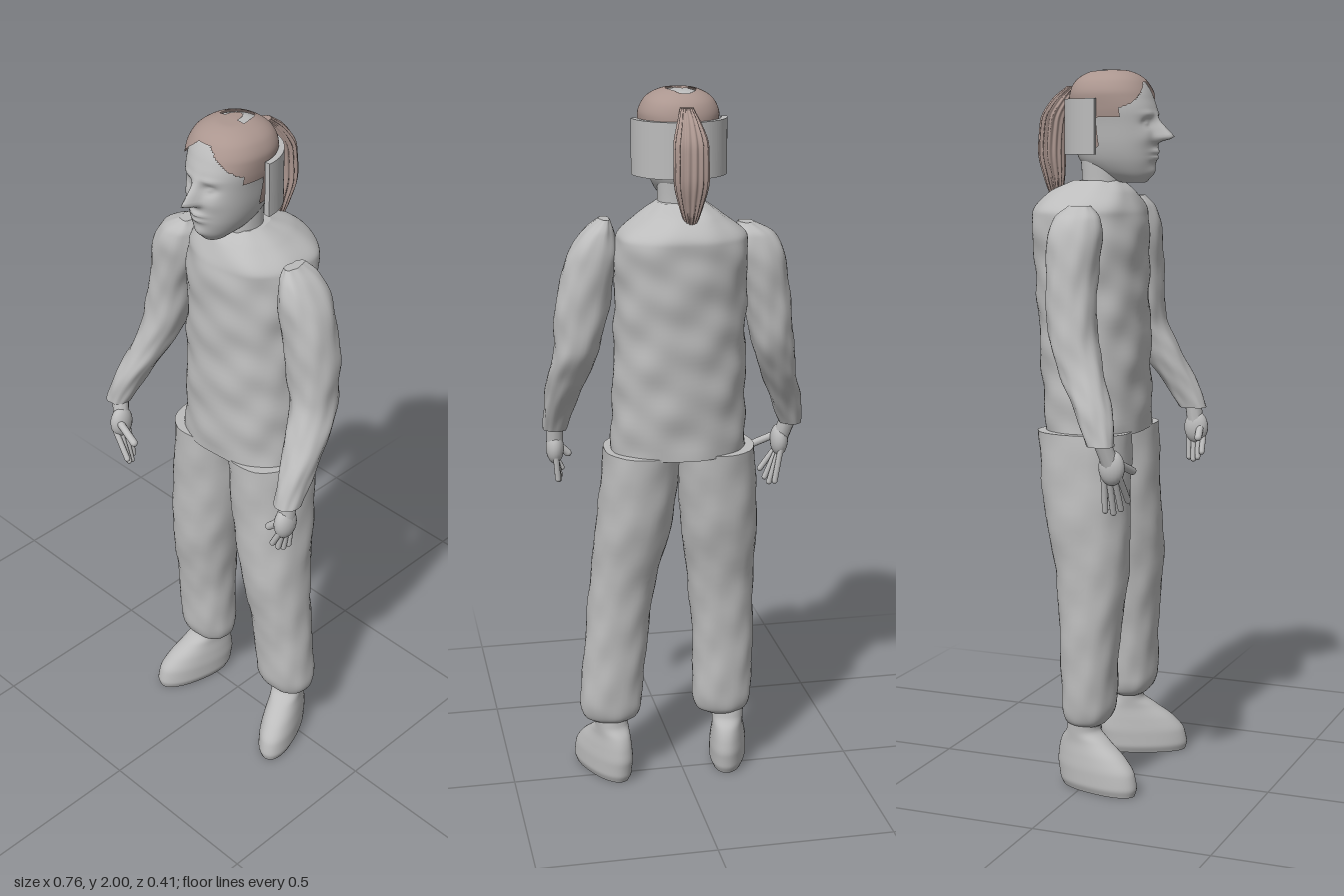
import * as THREE from 'three';

const grey = new THREE.MeshStandardMaterial({ color: 0xbcbcbc });
grey.name = 'grey cloth and skin';
const brown = new THREE.MeshStandardMaterial({ color: 0xab968f });
brown.name = 'hair brown';

// Smooth interpolation through section rows without overshoot
function sampleRows(rows, steps) {
  const slope = (i, k) => {
    if (i === 0 || i === rows.length - 1) {
      const j = Math.max(0, Math.min(rows.length - 2, i === 0 ? 0 : i - 1));
      return rows[j + 1][k] - rows[j][k];
    }
    const a = rows[i][k] - rows[i - 1][k], b = rows[i + 1][k] - rows[i][k];
    return a * b <= 0 ? 0 : (2 * a * b) / (a + b);
  };
  const out = [];
  for (let i = 0; i < rows.length - 1; i++) {
    for (let s = 0; s < steps; s++) {
      const t = s / steps, t2 = t * t, t3 = t2 * t;
      out.push(rows[i].map((v, k) => v * (2 * t3 - 3 * t2 + 1) + slope(i, k) * (t3 - 2 * t2 + t)
        + rows[i + 1][k] * (3 * t2 - 2 * t3) + slope(i + 1, k) * (t3 - t2)));
    }
  }
  out.push(rows[rows.length - 1]);
  return out;
}

// Closed body through horizontal sections [y, centreX, centreZ, radiusX, radiusZ], bottom to top
function loft(sections, { sides = 40, steps = 6, power = 2.2, shape = null, keep = null } = {}) {
  const rows = sampleRows(sections, steps), pos = [], index = [], p = new THREE.Vector3();
  const round = (v) => Math.sign(v) * Math.abs(v) ** (2 / power);
  const point = (j) => pos.slice(j * 3, j * 3 + 3);
  const tri = (a, b, c) => {
    if (keep) {
      const [A, B, C] = [a, b, c].map(point);
      if (!keep(...A.map((v, k) => (v + B[k] + C[k]) / 3))) return;
    }
    index.push(a, b, c);
  };
  for (const [y, cx, cz, rx, rz] of rows) {
    for (let i = 0; i < sides; i++) {
      const a = (i / sides) * Math.PI * 2;
      p.set(cx + rx * round(Math.cos(a)), y, cz + rz * round(Math.sin(a)));
      if (shape) shape(p, a, cx, cz);
      pos.push(p.x, p.y, p.z);
    }
  }
  for (let j = 0; j < rows.length - 1; j++) {
    for (let i = 0; i < sides; i++) {
      const a = j * sides + i, b = j * sides + (i + 1) % sides;
      tri(a, a + sides, b);
      tri(b, a + sides, b + sides);
    }
  }
  // End caps with their own rings so the hems stay sharp
  for (const top of [false, true]) {
    const row = top ? rows.length - 1 : 0, start = pos.length / 3;
    for (let i = 0; i < sides; i++) pos.push(...point(row * sides + i));
    pos.push(rows[row][1], rows[row][0], rows[row][2]);
    for (let i = 0; i < sides; i++) {
      const a = start + i, b = start + (i + 1) % sides, c = start + sides;
      if (top) tri(c, b, a); else tri(c, a, b);
    }
  }
  const geo = new THREE.BufferGeometry();
  geo.setAttribute('position', new THREE.Float32BufferAttribute(pos, 3));
  geo.setIndex(index);
  geo.computeVertexNormals();
  return geo;
}

function add(parent, name, geo, mat = grey) {
  const mesh = new THREE.Mesh(geo, mat);
  mesh.name = name;
  parent.add(mesh);
  return mesh;
}

// Rounded finger between two points
function finger(parent, name, from, to, r) {
  const a = new THREE.Vector3(...from), b = new THREE.Vector3(...to), d = b.clone().sub(a);
  const mesh = add(parent, name, new THREE.CapsuleGeometry(r, d.length(), 4, 10));
  mesh.position.copy(a).add(b).multiplyScalar(0.5);
  mesh.quaternion.setFromUnitVectors(new THREE.Vector3(0, 1, 0), d.normalize());
}

// Soft cloth folds pushed along the radius
const folds = (size) => (p, a, cx, cz) => {
  const w = size * (Math.sin(38 * p.y + 3 * a) + Math.sin(61 * p.y - 5 * a + 1) * 0.7 + Math.sin(23 * p.y + 9 * a) * 0.6);
  p.x += Math.cos(a) * w;
  p.z += Math.sin(a) * w;
};

// Nose, lips, chin, brows and eye sockets
function face(p) {
  if (p.z < 0.06) return;
  const bump = (x, y, sx, up, down, h) => {
    const dy = p.y - y;
    return h * Math.exp(-(((p.x - 0.005 - x) / sx) ** 2) - (dy / (dy > 0 ? up : down)) ** 2);
  };
  let dz = bump(0, 1.818, 0.014, 0.04, 0.011, 0.043) + bump(0, 1.815, 0.025, 0.012, 0.01, 0.01);
  dz += bump(0, 1.778, 0.024, 0.007, 0.006, 0.01) + bump(0, 1.762, 0.022, 0.006, 0.007, 0.009);
  dz += bump(0, 1.722, 0.025, 0.016, 0.016, 0.009);
  for (const s of [-1, 1]) {
    dz += bump(s * 0.036, 1.855, 0.02, 0.012, 0.014, -0.013) + bump(s * 0.036, 1.854, 0.01, 0.006, 0.006, 0.007);
    dz += bump(s * 0.036, 1.88, 0.026, 0.008, 0.008, 0.004) + bump(s * 0.05, 1.815, 0.02, 0.02, 0.02, 0.004);
  }
  p.z += dz;
}

const headRows = [
  [1.695, 0.005, 0.085, 0.03, 0.04], [1.72, 0.005, 0.06, 0.055, 0.08], [1.76, 0.005, 0.042, 0.076, 0.11],
  [1.8, 0.005, 0.038, 0.086, 0.117], [1.85, 0.005, 0.035, 0.093, 0.12], [1.89, 0.005, 0.032, 0.099, 0.119],
  [1.925, 0.005, 0.026, 0.101, 0.113], [1.96, 0.005, 0.023, 0.088, 0.097], [1.982, 0.005, 0.023, 0.062, 0.07],
  [1.993, 0.005, 0.022, 0.03, 0.038], [1.995, 0.005, 0.022, 0.002, 0.002]];

// Scalp outline with a thin arch left open on the crown
function scalp(x, y, z) {
  const oval = (rx, rz) => (x / rx) ** 2 + ((z - 0.025) / rz) ** 2;
  if (y > 1.95 && z < 0.025 && oval(0.042, 0.072) < 1 && oval(0.022, 0.035) > 1) return false;
  if (z > 0.085) return y > 1.965 - 0.9 * Math.max(0, Math.abs(x - 0.005) - 0.02);
  return y > (z > 0.02 ? 1.872 : 1.79);
}

function buildHead(group) {
  const head = new THREE.Group();
  head.name = 'head';
  group.add(head);
  add(head, 'face', loft(headRows, { sides: 112, steps: 8, shape: face }));
  add(head, 'neck', loft([[1.62, 0.005, -0.005, 0.07, 0.06], [1.7, 0.005, 0, 0.062, 0.058], [1.79, 0.005, 0, 0.062, 0.065]]));
  const hairRows = headRows.map(([y, cx, cz, rx, rz]) => [y + 0.005, cx, cz, rx + 0.008, rz + 0.004]);
  const hair = add(head, 'hair', loft(hairRows, { sides: 112, steps: 8, keep: scalp }), brown);
  hair.material.side = THREE.DoubleSide;

  // Wide band around the back of the head
  const arc = new THREE.Shape();
  arc.absarc(0, 0, 0.131, 0, Math.PI, false);
  arc.absarc(0, 0, 0.115, Math.PI, 0, true);
  const band = add(head, 'headband', new THREE.ExtrudeGeometry(arc, { depth: 0.15, bevelEnabled: false, curveSegments: 32 }));
  band.rotation.x = -Math.PI / 2;
  band.position.set(0.004, 1.77, 0.025);

  // Ponytail with strand ridges
  const strands = (p, a, cx, cz) => {
    const k = 1 + 0.09 * Math.cos(14 * a + 6 * p.y);
    p.x = cx + (p.x - cx) * k;
    p.z = cz + (p.z - cz) * k;
  };
  add(head, 'ponytail', loft([
    [1.635, 0.005, -0.143, 0.005, 0.008], [1.7, 0.005, -0.148, 0.028, 0.026], [1.78, 0.005, -0.156, 0.044, 0.034],
    [1.86, 0.005, -0.15, 0.044, 0.034], [1.92, 0.005, -0.122, 0.03, 0.03], [1.957, 0.005, -0.088, 0.016, 0.02]],
  { sides: 84, power: 2, shape: strands }), brown);
}

function buildHand(group, name, wrist, palm, tips, thumb) {
  const hand = new THREE.Group();
  hand.name = name;
  group.add(hand);
  finger(hand, 'wrist', wrist, palm, 0.024);
  const pad = add(hand, 'palm', new THREE.SphereGeometry(1, 20, 14));
  pad.scale.set(0.026, 0.048, 0.036);
  pad.position.set(...palm);
  tips.forEach((tip, i) => finger(hand, 'finger', [palm[0], palm[1] - 0.025, palm[2] + (i - 1.5) * 0.015], tip, 0.0085));
  finger(hand, 'thumb', [palm[0], palm[1] + 0.015, palm[2] + 0.015], thumb, 0.011);
}

export function createModel() {
  const model = new THREE.Group();
  model.name = 'standing person';
  buildHead(model);

  // Loose top
  add(model, 'torso', loft([
    [1.005, 0.015, -0.017, 0.19, 0.138], [1.2, 0.014, -0.025, 0.184, 0.145], [1.4, 0.012, -0.034, 0.18, 0.15],
    [1.55, 0.012, -0.04, 0.182, 0.156], [1.61, 0.012, -0.044, 0.178, 0.154], [1.665, 0.01, -0.033, 0.118, 0.122],
    [1.7, 0.007, -0.012, 0.067, 0.066]], { sides: 72, steps: 12, shape: folds(0.0022) }));

  // Sleeves
  const sleeve = { shape: folds(0.0015), steps: 8 };
  add(model, 'rightArm', loft([
    [1.015, -0.35, 0.135, 0.032, 0.036], [1.1, -0.325, 0.105, 0.044, 0.05], [1.2, -0.288, 0.055, 0.05, 0.06],
    [1.3, -0.262, 0.02, 0.06, 0.066], [1.42, -0.243, 0.008, 0.063, 0.068], [1.54, -0.215, 0.005, 0.075, 0.073],
    [1.6, -0.2, 0.005, 0.06, 0.062], [1.635, -0.18, 0.005, 0.02, 0.03]], sleeve));
  add(model, 'leftArm', loft([
    [1.03, 0.34, 0.15, 0.033, 0.04], [1.1, 0.333, 0.115, 0.042, 0.05], [1.2, 0.316, 0.055, 0.055, 0.06],
    [1.3, 0.293, 0.01, 0.062, 0.066], [1.42, 0.276, 0.005, 0.074, 0.069], [1.55, 0.25, 0.005, 0.067, 0.073],
    [1.62, 0.23, 0.008, 0.042, 0.06], [1.655, 0.212, 0.01, 0.014, 0.035]], sleeve));

  // Hands
  buildHand(model, 'rightHand', [-0.345, 1.03, 0.135], [-0.322, 0.955, 0.155],
    [[-0.305, 0.835, 0.13], [-0.292, 0.828, 0.148], [-0.283, 0.838, 0.166], [-0.272, 0.86, 0.182]], [-0.24, 0.935, 0.182]);
  buildHand(model, 'leftHand', [0.34, 1.04, 0.15], [0.34, 0.97, 0.16],
    [[0.335, 0.88, 0.14], [0.33, 0.875, 0.155], [0.325, 0.882, 0.17], [0.318, 0.9, 0.185]], [0.3, 0.945, 0.18]);

  // Trousers: centre and half width of each leg down the shared side profile
  const profile = [[0.18, 0.003, 0.042], [0.195, 0.005, 0.06], [0.24, 0.008, 0.074], [0.4, 0.01, 0.08],
    [0.6, 0.015, 0.1], [0.8, -0.005, 0.12], [1.012, -0.016, 0.133]];
  const legs = {
    rightLeg: [[-0.12, 0.05], [-0.12, 0.075], [-0.12, 0.086], [-0.123, 0.088], [-0.115, 0.095], [-0.105, 0.109], [-0.092, 0.107]],
    leftLeg: [[0.21, 0.055], [0.21, 0.078], [0.21, 0.09], [0.195, 0.09], [0.172, 0.093], [0.138, 0.107], [0.117, 0.107]],
  };
  for (const [name, widths] of Object.entries(legs)) {
    add(model, name, loft(profile.map(([y, cz, rz], i) => [y, widths[i][0], cz, widths[i][1], rz]),
      { steps: 8, shape: folds(0.0012) }));
  }

  // Feet turned outwards
  const footRows = [[0, 0, 0.05, 0.046, 0.118], [0.025, 0, 0.047, 0.054, 0.126], [0.06, 0, 0.04, 0.054, 0.125],
    [0.1, 0, 0.025, 0.05, 0.108], [0.14, 0, 0.004, 0.045, 0.075], [0.17, 0, -0.004, 0.046, 0.046], [0.21, 0, 0, 0.048, 0.042]];
  for (const [name, x, turn] of [['rightFoot', -0.137, -0.25], ['leftFoot', 0.212, 0.42]]) {
    const foot = add(model, name, loft(footRows));
    foot.position.x = x;
    foot.rotation.y = turn;
  }
  return model;
}
